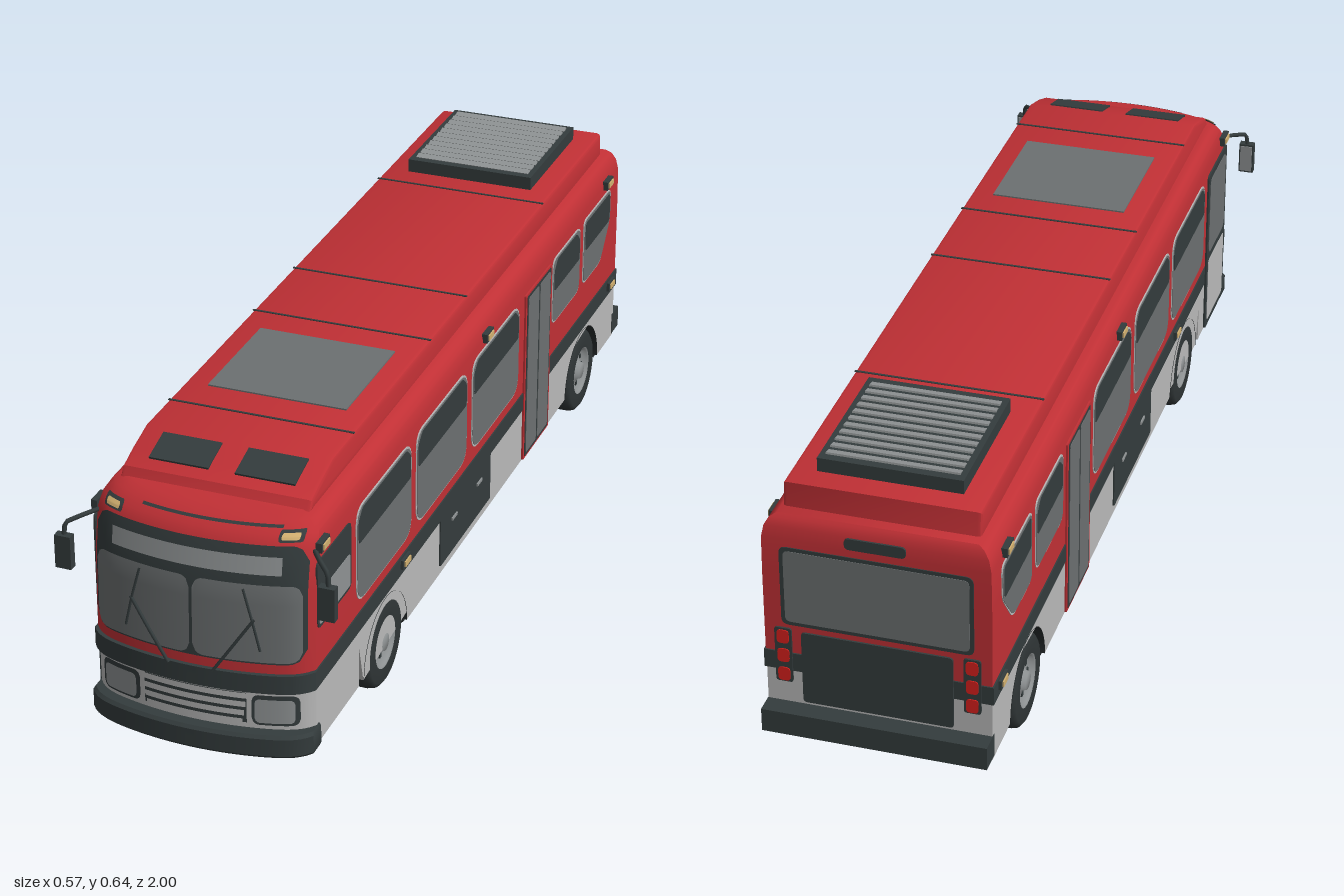
import * as THREE from 'three';
import { toCreasedNormals } from 'three/addons/utils/BufferGeometryUtils.js';

const mat = (name, color) => {
  const m = new THREE.MeshStandardMaterial({ color, side: THREE.DoubleSide });
  m.name = name;
  return m;
};

export function createModel() {
  const bus = new THREE.Group();
  bus.name = 'bus';
  const red = mat('red paint', 0xc13035), dark = mat('dark trim', 0x343c3d), glass = mat('grey glass', 0x6c7071),
    silver = mat('silver panel', 0xbababa), tyre = mat('tyre rubber', 0x2f3536), metal = mat('slat metal', 0x8f9394),
    amber = mat('amber lamp', 0xd2b070), tail = mat('tail lamp red', 0xd8201c), under = mat('chassis black', 0x262b2c);

  const add = (name, geo, m, parent = bus) => {
    const mesh = new THREE.Mesh(geo, m);
    mesh.name = name;
    parent.add(mesh);
    return mesh;
  };
  const box = (name, m, w, h, d, x, y, z, parent) => {
    const b = add(name, new THREE.BoxGeometry(w, h, d), m, parent);
    b.position.set(x, y, z);
    return b;
  };
  const tube = (name, m, pts, r, parent) => add(name, new THREE.TubeGeometry(
    new THREE.CatmullRomCurve3(pts.map(p => new THREE.Vector3(...p)), false, 'catmullrom', 0.1), 10, r, 6), m, parent);

  // Body lofted from plan outlines with a bowed front; ring = [y, halfWidth, frontZ, backZ]
  const bow = s => 0.04 * s * s + 0.022 * Math.abs(s) ** 12;
  function loft(rings) {
    const n = 48, count = n + 3, pos = [], idx = [];
    for (const [y, hw, zf, zb] of rings) {
      for (let i = 0; i <= n; i++) {
        const s = (i / n) * 2 - 1;
        pos.push(hw * s, y, zf - bow(s));
      }
      pos.push(hw, y, zb, -hw, y, zb);
    }
    for (let r = 0; r < rings.length - 1; r++) for (let i = 0; i < count; i++) {
      const a = r * count + i, b = r * count + (i + 1) % count;
      idx.push(a, b, b + count, a, b + count, a + count);
    }
    const top = (rings.length - 1) * count;
    for (let i = 1; i < count - 1; i++) idx.push(top, top + i, top + i + 1, 0, i + 1, i);
    const g = new THREE.BufferGeometry();
    g.setAttribute('position', new THREE.Float32BufferAttribute(pos, 3));
    g.setIndex(idx);
    return toCreasedNormals(g, 0.6);
  }
  const upper = [[0.25, 0.225, 0.975, -0.96], [0.42, 0.225, 0.97, -0.96], [0.505, 0.224, 0.955, -0.96],
    [0.53, 0.219, 0.938, -0.957], [0.547, 0.209, 0.915, -0.952], [0.555, 0.196, 0.895, -0.945]];
  add('upperBody', loft(upper), red);
  add('beltBand', loft([[0.21, 0.228, 0.983, -0.963], [0.25, 0.228, 0.983, -0.963]]), dark);
  add('frontSkirt', loft([[0.08, 0.224, 0.972, 0.69], [0.21, 0.224, 0.972, 0.69]]), silver);
  add('frontBumper', loft([[0.075, 0.226, 0.994, 0.9], [0.082, 0.229, 1, 0.9], [0.119, 0.229, 1, 0.9], [0.125, 0.226, 0.994, 0.9]]), dark);

  // Skirt with wheel arches cut through it
  const axles = [0.545, -0.72], archR = 0.122;
  const skirt = new THREE.Shape();
  skirt.moveTo(-0.7, 0.08);
  for (const z of axles) skirt.absarc(-z, 0.08, archR, Math.PI, 0, true);
  skirt.lineTo(0.96, 0.08).lineTo(0.96, 0.21).lineTo(-0.7, 0.21);
  const skirtGeo = new THREE.ExtrudeGeometry(skirt, { depth: 0.448, bevelEnabled: false, curveSegments: 20 });
  add('sideSkirt', skirtGeo.translate(0, 0, -0.224).rotateY(Math.PI / 2), silver);
  for (const z of axles) {
    const liner = add('archLiner', new THREE.CylinderGeometry(archR - 0.002, archR - 0.002, 0.45, 24, 1, true, 0, Math.PI), under);
    liner.rotation.set(0, 0, Math.PI / 2);
    liner.position.set(0, 0.08, z);
  }

  // Raised roof with sloping front
  const roof = new THREE.Shape([[-0.855, 0.545], [-0.84, 0.565], [-0.80, 0.58], [-0.735, 0.598], [0.91, 0.598], [0.915, 0.545]]
    .map(p => new THREE.Vector2(...p)));
  const roofGeo = new THREE.ExtrudeGeometry(roof, { depth: 0.37, bevelSize: 0.007, bevelThickness: 0.008, bevelSegments: 2 });
  add('raisedRoof', toCreasedNormals(roofGeo.translate(0, 0, -0.185).rotateY(Math.PI / 2), 0.5), red);
  for (const z of [0.63, 0.21, -0.005, -0.5]) box('roofSeam', dark, 0.386, 0.002, 0.005, 0, 0.6055, z);
  box('skylight', glass, 0.29, 0.006, 0.265, 0, 0.605, 0.418);
  for (const x of [-0.088, 0.088]) box('roofVent', dark, 0.122, 0.008, 0.072, x, 0.59, 0.785).rotation.x = 0.27;

  // Roof cooling unit with louvres
  box('coolingUnit', dark, 0.286, 0.03, 0.305, 0, 0.619, -0.7125);
  for (let i = 0; i < 11; i++) box('louvre', metal, 0.262, 0.004, 0.017, 0, 0.635, -0.84 + i * 0.0255).rotation.x = 0.2;

  // Rounded polygon plates
  function plateGeo(pts, r, t) {
    const v = pts.map(p => new THREE.Vector2(...p)), s = new THREE.Shape(), n = v.length;
    v.forEach((p, i) => {
      const toward = q => p.clone().add(q.clone().sub(p).setLength(Math.max(r, 0.0005)));
      const a = toward(v[(i + n - 1) % n]), b = toward(v[(i + 1) % n]);
      if (i) s.lineTo(a.x, a.y); else s.moveTo(a.x, a.y);
      s.quadraticCurveTo(p.x, p.y, b.x, b.y);
    });
    return new THREE.ExtrudeGeometry(s, { depth: t, bevelEnabled: false, curveSegments: 5 });
  }
  const rect = (a, b, y0, y1) => [[a, y0], [b, y0], [b, y1], [a, y1]];
  const sidePlate = (name, m, side, pts, r, off) => {
    const p = add(name, plateGeo(pts.map(([z, y]) => [-side * z, y]), r, 0.004), m);
    p.rotation.y = side * Math.PI / 2;
    p.position.x = side * (0.222 + off);
  };
  const rearPlate = (name, m, pts, r, off) => {
    const p = add(name, plateGeo(pts, r, 0.004), m);
    p.rotation.y = Math.PI;
    p.position.z = -0.958 - off;
  };

  // Side windows, doors, hatches and lamps
  for (const side of [1, -1]) {
    const win = (a, b, y0, r, low = glass) => {
      sidePlate('windowTrim', silver, side, rect(a - 0.003, b + 0.003, y0 - 0.003, 0.483), r, 0.0005);
      sidePlate('windowGlass', low, side, rect(a, b, y0, 0.48), r, 0.0015);
      sidePlate('windowTopPane', dark, side, [[a + 0.006, 0.405], [b - 0.006, 0.405], [b - 0.006, 0.455], [b - 0.028, 0.476], [a + 0.028, 0.476], [a + 0.006, 0.455]], 0.008, 0.0025);
    };
    for (const z of [0.41, 0.083, -0.248]) win(z, z + 0.294, 0.277, 0.04);
    win(-0.672, -0.482, 0.327, 0.025);
    const cut = [[-0.703, 0.327], [-0.703, 0.48], [-0.897, 0.48], [-0.897, 0.405], [-0.83, 0.327]];
    sidePlate('rearWindowTrim', silver, side, cut.map(([z, y]) => [z + (z < -0.8 ? -0.003 : 0.003), y + (y > 0.4 ? 0.003 : -0.003)]), 0.02, 0.0005);
    sidePlate('rearWindowGlass', glass, side, cut, 0.02, 0.0015);
    sidePlate('rearWindowTopPane', dark, side, rect(-0.89, -0.71, 0.405, 0.474), 0.012, 0.0025);

    sidePlate('doorSurround', red, side, rect(-0.46, -0.285, 0.085, 0.485), 0.004, 0.004);
    sidePlate('doorFrame', dark, side, rect(-0.452, -0.293, 0.09, 0.48), 0.004, 0.005);
    for (const z of [-0.446, -0.368]) sidePlate('doorLeaf', glass, side, rect(z, z + 0.069, 0.097, 0.474), 0.008, 0.006);
    sidePlate('accessHatch', dark, side, rect(-0.075, 0.235, 0.1, 0.215), 0.004, 0.001);
    for (const z of [0.0, 0.155]) box('hatchHandle', metal, 0.004, 0.006, 0.03, side * 0.228, 0.178, z);

    if (side > 0) {
      sidePlate('driverWindowFrame', dark, side, rect(0.735, 0.905, 0.333, 0.477), 0.015, 0.001);
      sidePlate('driverWindowGlass', metal, side, rect(0.742, 0.898, 0.34, 0.41), 0.008, 0.002);
    } else {
      sidePlate('entryDoorFrame', dark, side, rect(0.725, 0.9, 0.09, 0.485), 0.01, 0.0055);
      sidePlate('entryDoorGlass', glass, side, rect(0.74, 0.888, 0.28, 0.47), 0.02, 0.0065);
      sidePlate('entryDoorPanel', silver, side, rect(0.74, 0.888, 0.105, 0.262), 0.01, 0.0065);
    }
    for (const [z, y] of [[0.88, 0.507], [-0.04, 0.507], [-0.87, 0.507], [0.45, 0.234], [-0.91, 0.234]]) {
      box('lampBase', dark, 0.012, 0.02, 0.042, side * 0.228, y, z);
      box('sideLamp', amber, 0.012, 0.012, 0.03, side * 0.231, y, z);
    }
  }

  // Front surface patches that follow the bowed nose
  function noseZ(x, y) {
    if (y < 0.21) return 0.972 - bow(x / 0.224);
    let i = 0;
    while (i < upper.length - 2 && y > upper[i + 1][0]) i++;
    const [y0, h0, z0] = upper[i], [y1, h1, z1] = upper[i + 1], t = Math.max(0, (y - y0) / (y1 - y0));
    return z0 + (z1 - z0) * t - bow(Math.min(1, Math.abs(x) / (h0 + (h1 - h0) * t)));
  }
  function nosePatch(name, m, x0, x1, y0, y1, r, off) {
    const g = new THREE.PlaneGeometry(1, 1, 36, 8), p = g.attributes.position;
    for (let i = 0; i < p.count; i++) {
      const x = x0 + (p.getX(i) + 0.5) * (x1 - x0);
      const t = r ? Math.max(0, 1 - Math.min(x - x0, x1 - x) / r) : 0;
      const inset = r * (1 - Math.sqrt(Math.max(0, 1 - t * t)));
      const y = y0 + inset + (p.getY(i) + 0.5) * (y1 - y0 - 2 * inset);
      p.setXYZ(i, x, y, noseZ(x, y) + off);
    }
    g.computeVertexNormals();
    return add(name, g, m);
  }
  nosePatch('windscreenFrame', dark, -0.215, 0.215, 0.272, 0.514, 0.03, 0.004);
  nosePatch('destinationPanel', metal, -0.172, 0.172, 0.46, 0.496, 0, 0.007);
  for (const s of [1, -1]) {
    const span = (a, b) => s > 0 ? [a, b] : [-b, -a];
    nosePatch('windscreen', glass, ...span(0.003, 0.209), 0.277, 0.44, 0.022, 0.007);
    nosePatch('headlampFrame', dark, ...span(0.115, 0.203), 0.136, 0.202, 0.014, 0.005);
    nosePatch('headlamp', metal, ...span(0.122, 0.196), 0.143, 0.195, 0.01, 0.009);
    nosePatch('roofLampBase', dark, ...span(0.158, 0.202), 0.52, 0.538, 0.004, 0.005);
    nosePatch('roofLamp', amber, ...span(0.164, 0.196), 0.525, 0.535, 0.003, 0.009);
    // Wipers
    const at = (x, y) => [s * x, y, noseZ(x, y) + 0.013];
    tube('wiperArm', dark, [at(0.045, 0.25), at(0.085, 0.31), at(0.125, 0.37)], 0.0035);
    tube('wiperBlade', dark, [at(0.105, 0.433), at(0.122, 0.37), at(0.137, 0.305)], 0.0025);
    // Mirrors
    tube('mirrorArm', dark, [[s * 0.213, 0.5, 0.89], [s * 0.24, 0.496, 0.925], [s * 0.265, 0.488, 0.95], [s * 0.268, 0.46, 0.953]], 0.005);
    box('mirror', dark, 0.033, 0.07, 0.018, s * 0.267, 0.429, 0.955);
    box('mirrorFace', metal, 0.027, 0.062, 0.002, s * 0.267, 0.429, 0.945);
  }
  nosePatch('noseCrease', dark, -0.12, 0.16, 0.539, 0.543, 0, 0.003);
  nosePatch('grille', dark, -0.105, 0.105, 0.138, 0.204, 0, 0.004);
  for (let i = 0; i < 4; i++) nosePatch('grilleBar', silver, -0.108 + i * 0.003, 0.108 - i * 0.003, 0.194 - i * 0.019, 0.206 - i * 0.019, 0, 0.009);

  // Rear end
  rearPlate('rearWindowFrame', dark, rect(-0.19, 0.19, 0.315, 0.49), 0.015, 0);
  rearPlate('rearWindow', glass, rect(-0.182, 0.182, 0.323, 0.482), 0.012, 0.001);
  rearPlate('rearVent', dark, rect(-0.06, 0.06, 0.508, 0.532), 0.01, 0.001);
  rearPlate('engineCover', dark, rect(-0.15, 0.15, 0.145, 0.305), 0.008, 0.006);
  for (const s of [1, -1]) {
    rearPlate('tailLampBase', dark, rect(s * 0.187 - 0.017, s * 0.187 + 0.017, 0.185, 0.308), 0.006, 0.004);
    for (const y of [0.203, 0.246, 0.289]) rearPlate('tailLamp', tail, rect(s * 0.187 - 0.012, s * 0.187 + 0.012, y - 0.015, y + 0.015), 0.008, 0.006);
  }
  box('rearBumper', dark, 0.45, 0.05, 0.05, 0, 0.11, -0.975);

  // Underside: floor plates, rails and cross members
  for (const [a, b] of [[0.668, 0.9], [-0.597, 0.422], [-0.95, -0.843]]) box('floor', under, 0.43, 0.018, b - a, 0, 0.08, (a + b) / 2);
  box('chassisSpine', under, 0.22, 0.13, 1.8, 0, 0.142, 0);
  for (const x of [-0.2, -0.07, 0.07, 0.2]) box('rail', under, 0.014, 0.014, 1.0, x, 0.067, -0.09);
  for (let i = 0; i < 7; i++) box('crossMember', under, 0.41, 0.012, 0.014, 0, 0.067, -0.57 + i * 0.16);

  // Wheels: single in front, twin behind
  const wheelGeo = new THREE.LatheGeometry([[0.055, -0.026], [0.085, -0.027], [0.094, -0.02], [0.097, -0.008], [0.097, 0.008], [0.094, 0.02], [0.085, 0.027], [0.055, 0.026]]
    .map(p => new THREE.Vector2(...p)), 32).rotateZ(-Math.PI / 2);
  const rimGeo = new THREE.LatheGeometry([[0, 0.027], [0.018, 0.027], [0.022, 0.016], [0.042, 0.012], [0.05, 0.024], [0.058, 0.026]]
    .map(p => new THREE.Vector2(...p)), 28).rotateZ(-Math.PI / 2);
  for (const z of axles) {
    const axle = add('axle', new THREE.CylinderGeometry(0.02, 0.02, 0.36, 12).rotateZ(Math.PI / 2), under);
    axle.position.set(0, 0.097, z);
    for (const s of [1, -1]) for (const x of z < 0 ? [0.198, 0.142] : [0.198]) {
      const wheel = new THREE.Group();
      wheel.name = 'wheel';
      wheel.position.set(s * x, 0.097, z);
      if (s < 0) wheel.rotation.y = Math.PI;
      add('tyre', wheelGeo, tyre, wheel);
      add('rim', rimGeo, metal, wheel);
      for (let i = 0; i < 8; i++) {
        const a = i * Math.PI / 4;
        box('rimHole', dark, 0.003, 0.009, 0.009, 0.0145, Math.cos(a) * 0.034, Math.sin(a) * 0.034, wheel);
      }
      bus.add(wheel);
    }
  }
  return bus;
}
